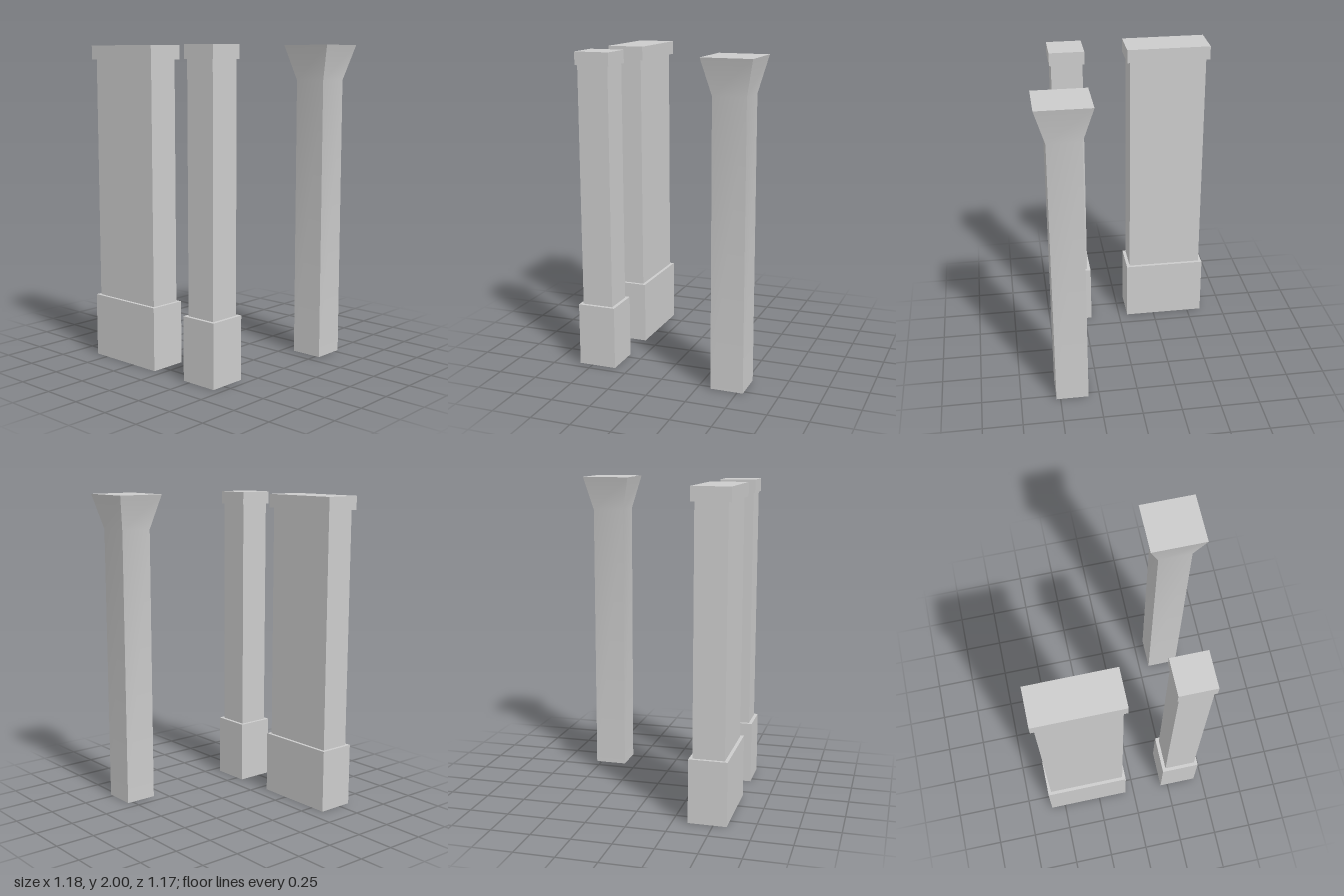
import * as THREE from 'three';
import { toCreasedNormals } from 'three/addons/utils/BufferGeometryUtils.js';

const material = new THREE.MeshStandardMaterial({ color: 0xcccccc, side: THREE.DoubleSide });

// Open-bottomed rectangular shell; each ring is [y, half width, half depth], from bottom to top.
function shell(name, rings, closeTop = false) {
  const corners = [[1, 1], [1, -1], [-1, -1], [-1, 1]];
  const positions = [], index = [];
  for (const [y, w, d] of rings) {
    for (const [sx, sz] of corners) positions.push(sx * w, y, sz * d);
  }
  for (let r = 0; r < rings.length - 1; r++) {
    for (let i = 0; i < 4; i++) {
      const a = r * 4 + i, b = r * 4 + (i + 1) % 4;
      index.push(a, b, b + 4, a, b + 4, a + 4);
    }
  }
  if (closeTop) {
    const t = (rings.length - 1) * 4;
    index.push(t, t + 1, t + 2, t, t + 2, t + 3);
  }
  const geometry = new THREE.BufferGeometry();
  geometry.setAttribute('position', new THREE.Float32BufferAttribute(positions, 3));
  geometry.setIndex(index);
  const mesh = new THREE.Mesh(toCreasedNormals(geometry, 0.6), material);
  mesh.name = name;
  return mesh;
}

function column(name, x, z, ...parts) {
  const group = new THREE.Group();
  group.name = name;
  group.position.set(x, 0, z);
  group.add(...parts);
  return group;
}

// Plinth with a ledge, plain shaft and overhanging cap; sizes are half width and half depth.
function pillar(name, x, z, base, shaft, cap, capY, topY) {
  return column(name, x, z,
    shell('base', [[0, ...base], [0.4, ...base], [0.4, ...shaft]]),
    shell('shaft', [[0.4, ...shaft], [capY, ...shaft]]),
    shell('cap', [[capY, ...shaft], [capY, ...cap], [topY, ...cap]], true));
}

export function createModel() {
  const model = new THREE.Group();
  model.name = 'columns';

  model.add(pillar('widePillar', -0.327, 0.464,
    [0.268, 0.119], [0.247, 0.098], [0.268, 0.119], 1.91, 1.996));

  model.add(pillar('narrowPillar', 0.323, 0.465,
    [0.122, 0.122], [0.1, 0.1], [0.112, 0.112], 1.915, 1.997));

  // Square post whose head flares outward, softly shaded across the bend
  model.add(column('flaredPost', 0.423, -0.433,
    shell('flaredShaft', [[0, 0.103, 0.103], [1.78, 0.103, 0.103], [2, 0.167, 0.155]], true)));

  return model;
}
